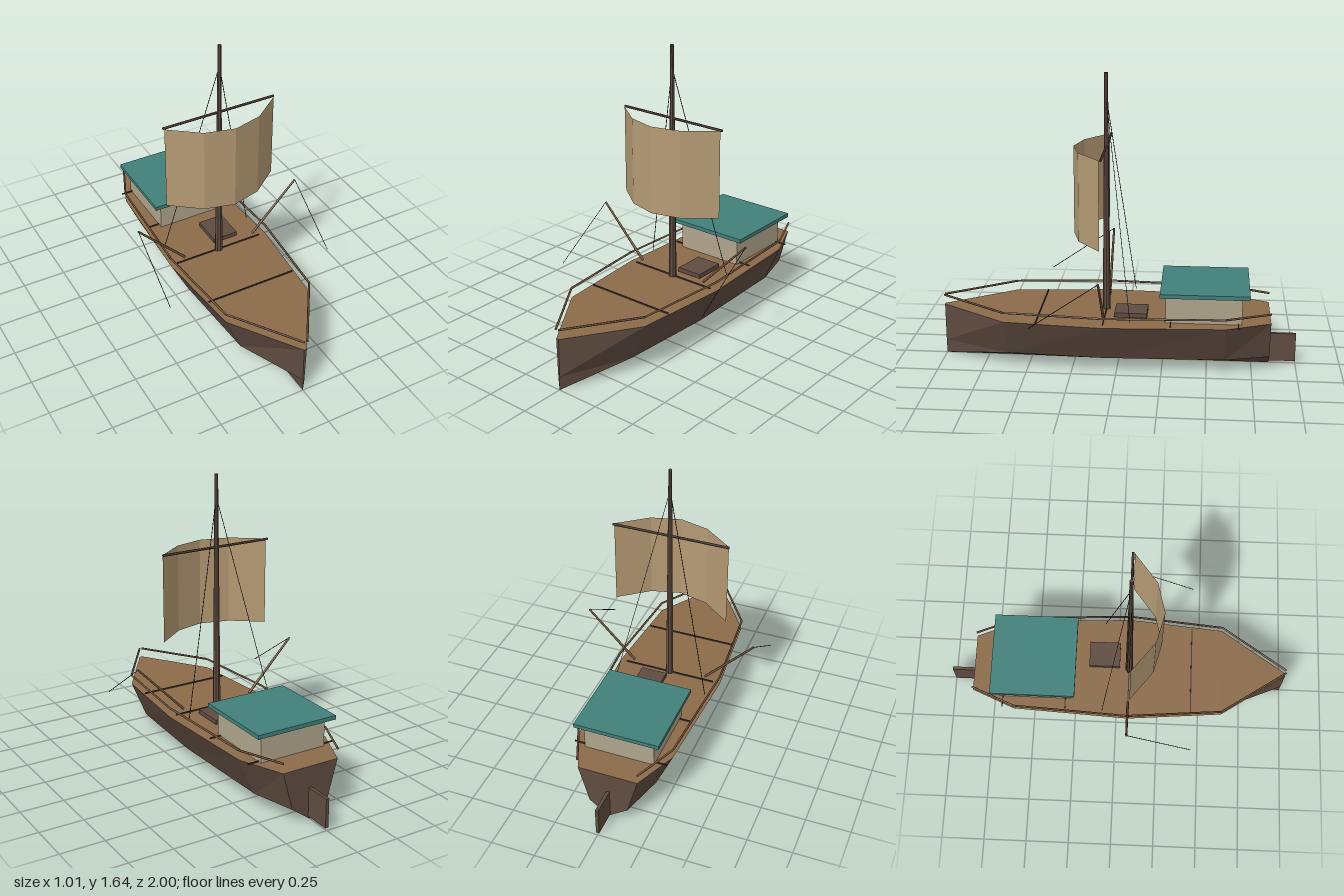
import * as THREE from 'three';

const material = (name, color, extra = {}) => {
  const m = new THREE.MeshStandardMaterial({ color, ...extra });
  m.name = name;
  return m;
};

export function createModel() {
  const hullWood = material('dark hull wood', 0x5f4c41, { flatShading: true });
  const deckWood = material('deck wood', 0x8b6b4a, { flatShading: true });
  const sparWood = material('spar wood', 0x6f5439);
  const beamWood = material('dark beam wood', 0x46362b);
  const canvas = material('sail canvas', 0xb59b74, { flatShading: true, side: THREE.DoubleSide });
  const wall = material('cabin wall', 0xb0a58c);
  const roofPaint = material('teal roof', 0x41807a);
  const rope = material('rope', 0x2a241f);

  const model = new THREE.Group();
  model.name = 'sailingBoat';

  const add = (name, geometry, mat) => {
    const mesh = new THREE.Mesh(geometry, mat);
    mesh.name = name;
    model.add(mesh);
    return mesh;
  };

  // Box given by its minimum and maximum on each axis
  const box = (name, [x0, x1], [y0, y1], [z0, z1], mat) =>
    add(name, new THREE.BoxGeometry(x1 - x0, y1 - y0, z1 - z0), mat)
      .position.set((x0 + x1) / 2, (y0 + y1) / 2, (z0 + z1) / 2);

  // Round rod between two points
  const rod = (name, from, to, r0, r1, mat, sides = 6) => {
    const a = new THREE.Vector3(...from), b = new THREE.Vector3(...to);
    const dir = b.clone().sub(a);
    const mesh = add(name, new THREE.CylinderGeometry(r1, r0, dir.length(), sides), mat);
    mesh.position.copy(a).add(b).multiplyScalar(0.5);
    mesh.quaternion.setFromUnitVectors(new THREE.Vector3(0, 1, 0), dir.normalize());
  };

  const facets = (triangles) => {
    const g = new THREE.BufferGeometry();
    g.setAttribute('position', new THREE.Float32BufferAttribute(triangles.flat(), 3));
    g.computeVertexNormals();
    return g;
  };

  // Hull: [z, half width] stations, each with deck edge, chine and keel
  const stations = [[-0.85, 0.17], [-0.6, 0.275], [0.07, 0.31], [0.62, 0.262], [1, 0.008]];
  const deckY = 0.3, chineY = 0.08, chineRatio = 0.645;
  const sections = stations.map(([z, w]) => [
    [w, deckY, z], [w * chineRatio, chineY, z], [0, 0, z], [-w * chineRatio, chineY, z], [-w, deckY, z],
  ]);
  const hull = [], deck = [];
  const quad = (list, a, b, c, d) => list.push(...a, ...b, ...c, ...a, ...c, ...d);
  for (let s = 0; s < sections.length - 1; s++) {
    const a = sections[s], b = sections[s + 1];
    for (let i = 0; i < 4; i++) quad(hull, a[i], b[i], b[i + 1], a[i + 1]);
    quad(deck, a[4], b[4], b[0], a[0]);
  }
  const stern = sections[0], bow = sections[sections.length - 1];
  for (let i = 1; i < 4; i++) {
    hull.push(...stern[0], ...stern[i], ...stern[i + 1]);
    hull.push(...bow[0], ...bow[i + 1], ...bow[i]);
  }
  add('hull', facets(hull), hullWood);
  add('deck', facets(deck), deckWood);
  box('rudder', [-0.009, 0.009], [0.015, 0.18], [-1, -0.85], hullWood);

  // Thin beams across the deck
  for (const z of [-0.67, -0.3, 0.07, 0.44]) {
    box('deckBeam', [-0.268, 0.268], [0.3, 0.307], [z - 0.003, z + 0.003], beamWood);
  }

  // Cabin and hatch
  box('cabin', [-0.2, 0.2], [0.3, 0.46], [-0.69, -0.27], wall);
  box('cabinRoof', [-0.243, 0.243], [0.457, 0.48], [-0.73, -0.24], roofPaint);
  box('hatch', [0, 0.15], [0.305, 0.33], [-0.167, 0.015], hullWood);

  // Mast and yard
  rod('mast', [0, 0.3, 0.07], [0, 1.645, 0.07], 0.022, 0.01, hullWood, 8);
  rod('yard', [-0.335, 1.24, 0.07], [0.335, 1.24, 0.07], 0.007, 0.007, beamWood);

  // Sail bellied forward in four flat panels
  const sail = new THREE.PlaneGeometry(0.66, 0.495, 4, 1);
  const p = sail.attributes.position;
  for (let i = 0; i < p.count; i++) {
    const t = p.getX(i) / 0.33;
    p.setZ(i, 0.17 * (1 - t * t));
  }
  sail.computeVertexNormals();
  add('sail', sail, canvas).position.set(0, 0.9925, 0.08);

  // Rails, fishing booms and rigging on both sides
  for (const side of [1, -1]) {
    for (let s = 0; s < stations.length - 1; s++) {
      const [z0, w0] = stations[s], [z1, w1] = stations[s + 1];
      rod('rail', [side * w0, 0.355, z0], [side * w1, 0.355, z1], 0.006, 0.006, sparWood);
    }
    rod('boom', [side * 0.22, 0.33, 0.07], [side * 0.5, 0.62, 0.07], 0.008, 0.006, sparWood);
    rod('boomLine', [side * 0.5, 0.62, 0.07], [side * 0.5, 0.365, 0.44], 0.002, 0.002, rope, 4);
    rod('shroud', [0, 1.52, 0.07], [side * 0.27, 0.325, -0.08], 0.002, 0.002, rope, 4);
  }

  return model;
}
